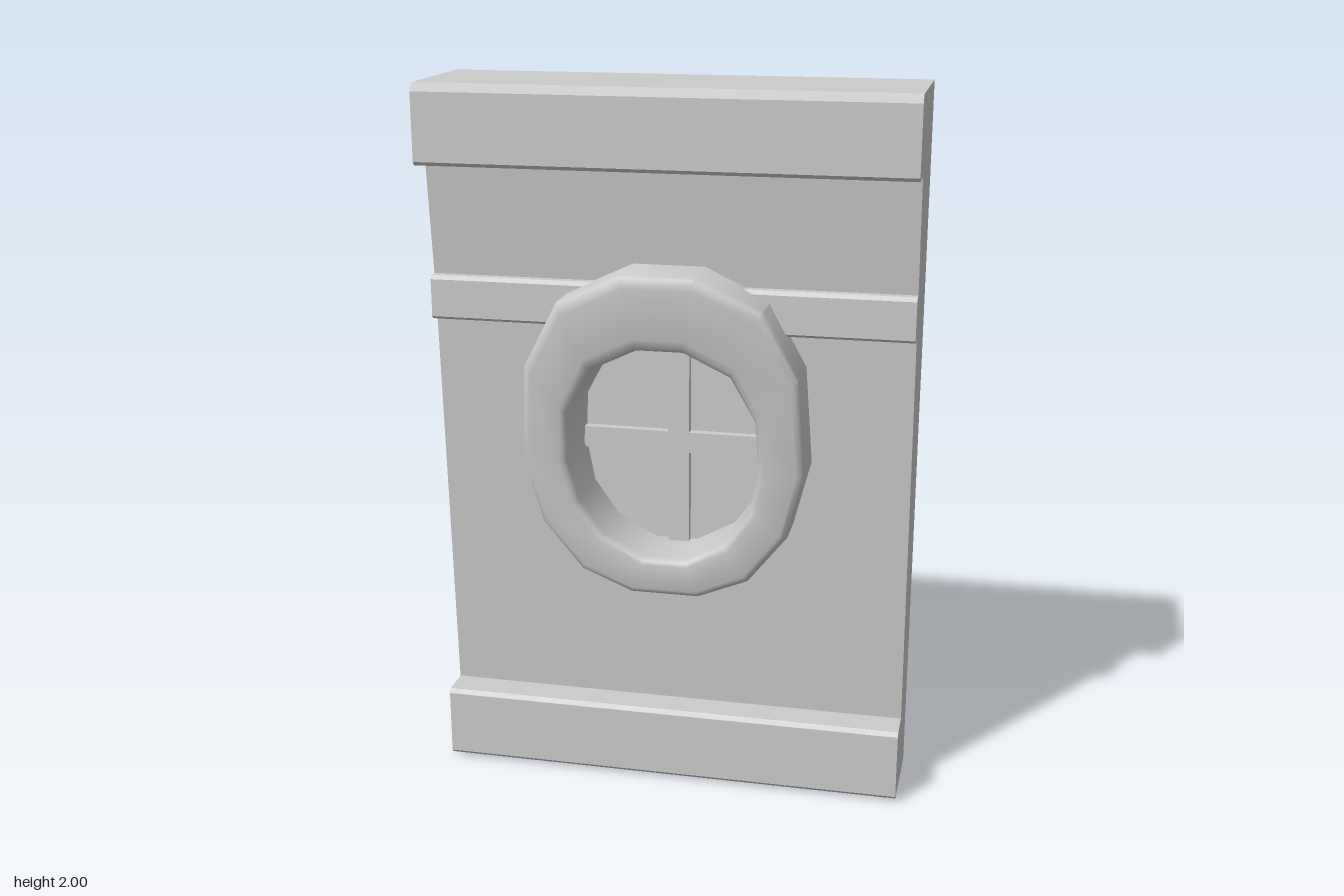
import * as THREE from 'three';
import { toCreasedNormals } from 'three/addons/utils/BufferGeometryUtils.js';

const W = 1.326, BACK = -0.145;
const mat = new THREE.MeshStandardMaterial({ color: 0xcccccc });

// Right half of the window outlines, bottom to top, then mirrored to the left
const mirrored = half => [...half, ...half.slice().reverse().map(([x, y]) => [-x, y])];
const OUTER = mirrored([[0.095, 0.6], [0.235, 0.66], [0.343, 0.8], [0.392, 0.99], [0.373, 1.26], [0.277, 1.44], [0.098, 1.525]]);
const INNER = mirrored([[0.06, 0.71], [0.17, 0.77], [0.24, 0.87], [0.263, 0.99], [0.257, 1.13], [0.19, 1.255], [0.063, 1.317]]);

// Outline between the inner (0) and outer (1) edge of the frame
const between = s => INNER.map(([x, y], i) => new THREE.Vector2(
  x + s * (OUTER[i][0] - x), y + s * (OUTER[i][1] - y)));

function add(group, name, geometry) {
  const mesh = new THREE.Mesh(geometry, mat);
  mesh.name = name;
  group.add(mesh);
  return mesh;
}

// Side profile of [z, y] points swept across the full width
function sweep(points) {
  const shape = new THREE.Shape(points.map(p => new THREE.Vector2(...p)));
  return new THREE.ExtrudeGeometry(shape, { depth: W, bevelEnabled: false })
    .rotateY(-Math.PI / 2).translate(W / 2, 0, 0);
}

// Lower wall: pierced slab whose front leans with height
function wallPanel() {
  const h = W / 2;
  const shape = new THREE.Shape([[-h, 0], [h, 0], [h, 1.4], [-h, 1.4]].map(p => new THREE.Vector2(...p)));
  shape.holes.push(new THREE.Path(between(0.3)));
  const geo = new THREE.ExtrudeGeometry(shape, { depth: 1, bevelEnabled: false });
  const pos = geo.attributes.position;
  for (let i = 0; i < pos.count; i++) {
    pos.setZ(i, pos.getZ(i) > 0.5 ? 0.025 + 0.051 * pos.getY(i) : BACK);
  }
  geo.computeVertexNormals();
  return geo;
}

// Oval frame: rounded section carried round the outline, deeper towards the top
function frameGeometry() {
  const section = [];
  const corners = [[1, 1, 0], [0, 1, 90], [0, -1, 180], [1, -1, 270]];
  for (const [s, side, start] of corners) {
    for (let k = 0; k <= 3; k++) {
      const a = THREE.MathUtils.degToRad(start + k * 30);
      section.push({
        s: (s ? 0.83 : 0.17) + 0.17 * Math.cos(a),
        side, inset: 0.025 * (1 - Math.abs(Math.sin(a))),
      });
    }
  }
  const n = INNER.length, m = section.length, verts = [], index = [];
  const rings = section.map(p => between(p.s));
  for (let i = 0; i < n; i++) {
    section.forEach(({ side, inset }, j) => {
      const { x, y } = rings[j][i];
      const depth = side > 0 ? 0.18 + (y - 0.61) * 0.098 : 0.195 + (y - 0.61) * 0.076;
      verts.push(x, y, side * (depth - inset));
      const a = i * m + j, b = ((i + 1) % n) * m + j;
      const c = ((i + 1) % n) * m + (j + 1) % m, d = i * m + (j + 1) % m;
      index.push(a, b, c, a, c, d);
    });
  }
  const geo = new THREE.BufferGeometry();
  geo.setAttribute('position', new THREE.Float32BufferAttribute(verts, 3));
  geo.setIndex(index);
  return toCreasedNormals(geo, 0.65);
}

export function createModel() {
  const model = new THREE.Group();
  model.name = 'wallWithWindow';

  // Wall and its mouldings
  add(model, 'wallPanel', wallPanel());
  add(model, 'upperWallAndCornice', sweep([
    [BACK, 1.4], [0.08, 1.4], [0.08, 1.35], [0.125, 1.35], [0.135, 1.358], [0.135, 1.462],
    [0.127, 1.473], [0.103, 1.473], [0.135, 1.785], [0.217, 1.785], [0.226, 1.795],
    [0.226, 1.978], [0.22, 1.993], [0.205, 2], [BACK, 2],
  ]));
  add(model, 'baseMoulding', sweep([
    [0, 0.01], [0.122, 0.01], [0.132, 0.02], [0.132, 0.208], [0.122, 0.22], [0, 0.22],
  ]));

  // Window
  const window = new THREE.Group();
  window.name = 'window';
  model.add(window);
  add(window, 'frame', frameGeometry());
  add(window, 'pane', new THREE.ExtrudeGeometry(new THREE.Shape(between(0.2)),
    { depth: 0.01, bevelEnabled: false }).translate(0, 0, -0.005));
  add(window, 'verticalBar', new THREE.BoxGeometry(0.06, 0.64, 0.06)).position.set(0.01, 1.013, 0);
  add(window, 'horizontalBar', new THREE.BoxGeometry(0.55, 0.06, 0.06)).position.set(0, 1.005, 0);

  return model;
}
